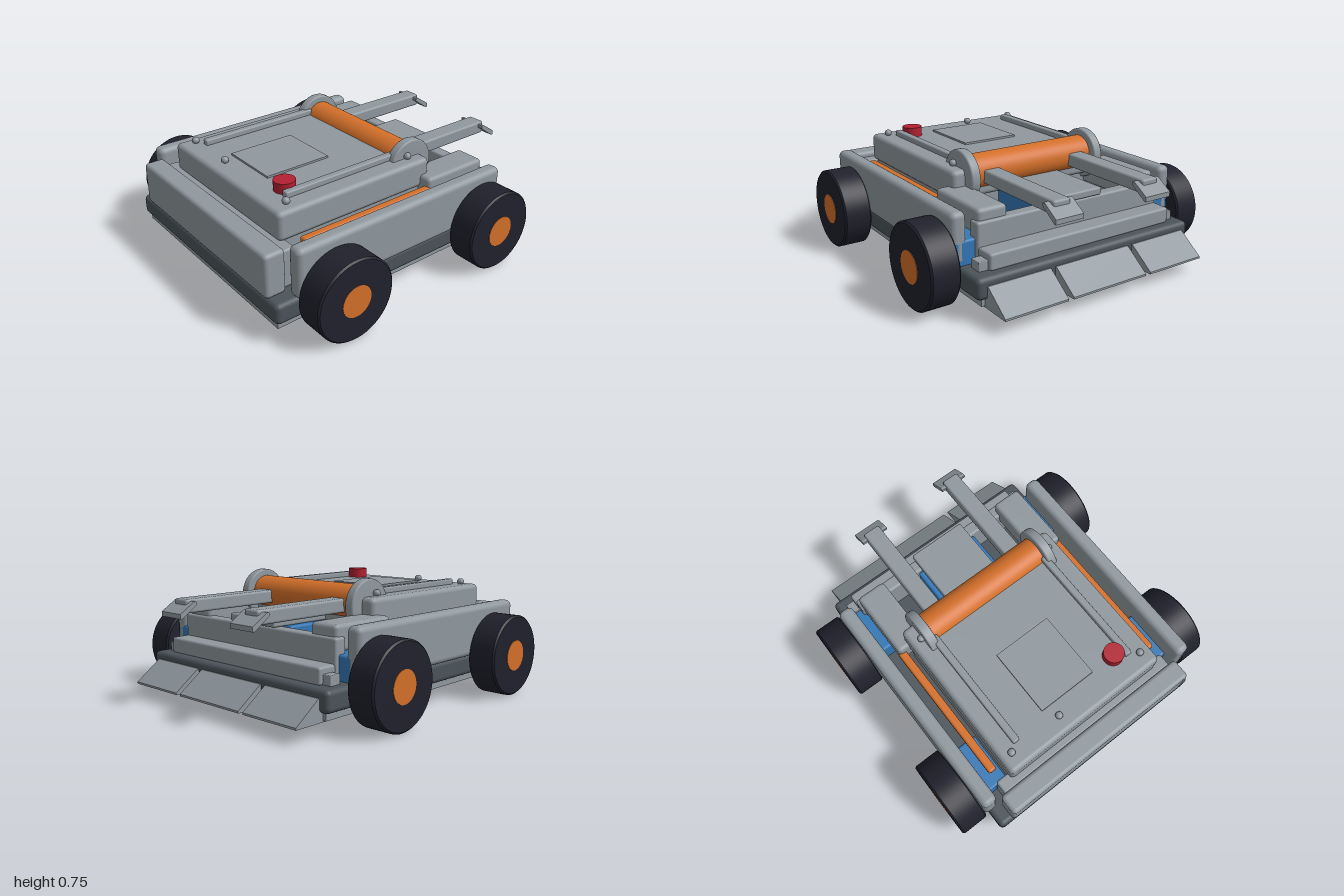
import * as THREE from 'three';
import { RoundedBoxGeometry } from 'three/addons/geometries/RoundedBoxGeometry.js';

const mat = (name, color) => {
  const m = new THREE.MeshStandardMaterial({ color });
  m.name = name;
  return m;
};

export function createModel() {
  const root = new THREE.Group();
  root.name = 'wheeledRobot';
  const grey = mat('bodyGrey', 0x90999f);
  const dark = mat('frameDarkGrey', 0x4b545a);
  const black = mat('tyreBlack', 0x20212c);
  const orange = mat('orange', 0xd4702a);
  const blue = mat('blue', 0x3478b6);
  const red = mat('red', 0xb32031);

  const add = (name, geo, m, x = 0, y = 0, z = 0) => {
    const mesh = new THREE.Mesh(geo, m);
    mesh.name = name;
    mesh.position.set(x, y, z);
    root.add(mesh);
    return mesh;
  };
  // Rounded box given by its limits on each axis
  const box = (name, m, x0, x1, y0, y1, z0, z1, r = 0.02) => {
    const w = x1 - x0, h = y1 - y0, d = z1 - z0;
    const geo = r > 0 ? new RoundedBoxGeometry(w, h, d, 3, r) : new THREE.BoxGeometry(w, h, d);
    return add(name, geo, m, (x0 + x1) / 2, (y0 + y1) / 2, (z0 + z1) / 2);
  };
  // The same box on both sides
  const pair = (name, m, x0, x1, y0, y1, z0, z1, r) => {
    box(name + 'Left', m, x0, x1, y0, y1, z0, z1, r);
    box(name + 'Right', m, x0, x1, y0, y1, -z1, -z0, r);
  };
  const zCylinder = (name, m, r, length, x, y, z) =>
    add(name, new THREE.CylinderGeometry(r, r, length, 48).rotateX(Math.PI / 2), m, x, y, z);
  // Side profile in x and y, extruded along z
  const wedge = (name, points, z0, z1) => {
    const shape = new THREE.Shape(points.map(([x, y]) => new THREE.Vector2(x, y)));
    const geo = new THREE.ExtrudeGeometry(shape, { depth: z1 - z0, bevelEnabled: false });
    return add(name, geo, grey, 0, 0, z0);
  };

  // Chassis
  box('baseFrame', dark, -0.99, 0.825, 0.13, 0.255, -0.755, 0.755, 0.03);
  box('bottomPlate', grey, -0.965, 0.8, 0.09, 0.135, -0.72, 0.72, 0);
  pair('sidePanel', grey, -0.87, 0.625, 0.25, 0.555, 0.69, 0.785, 0.035);
  box('rearBlock', grey, -0.995, -0.865, 0.25, 0.515, -0.67, 0.67, 0.025);
  box('rearPanel', grey, -0.87, -0.78, 0.25, 0.48, -0.635, 0.635, 0.015);
  box('frontPanel', grey, 0.57, 0.65, 0.25, 0.485, -0.645, 0.645, 0.015);
  box('frontBar', grey, 0.64, 0.765, 0.25, 0.348, -0.64, 0.64, 0.015);
  pair('frontBracket', grey, 0.665, 0.74, 0.2, 0.31, 0.6, 0.695, 0.005);

  // Deck and inner blocks
  box('topDeck', grey, -0.825, 0.25, 0.47, 0.645, -0.555, 0.555, 0.03);
  box('deckCore', grey, -0.79, 0.2, 0.25, 0.5, -0.54, 0.54, 0);
  pair('frontBlock', grey, 0.18, 0.63, 0.4, 0.55, 0.44, 0.63, 0.025);
  box('centrePlate', grey, 0.2, 0.665, 0.488, 0.535, -0.19, 0.19, 0.012);
  box('centreBattery', blue, 0.2, 0.56, 0.25, 0.488, -0.22, 0.22, 0.012);
  for (const s of [1, -1]) {
    const side = s > 0 ? 'Left' : 'Right';
    box('sideTube' + side, orange, -0.72, 0.2, 0.445, 0.495, s * 0.61 - 0.026, s * 0.61 + 0.026, 0.015);
  }

  // Deck details
  box('deckHatch', grey, -0.645, -0.22, 0.64, 0.657, -0.195, 0.185, 0);
  pair('deckRail', grey, -0.695, 0.1, 0.64, 0.68, 0.397, 0.442, 0.01);
  for (const [x, z] of [[-0.725, 0.48], [-0.725, -0.48], [-0.725, -0.135], [0.135, 0.485], [0.135, -0.485]])
    add('deckBolt', new RoundedBoxGeometry(0.044, 0.04, 0.044, 4, 0.0199), grey, x, 0.662, z);
  add('stopButton', new THREE.CylinderGeometry(0.063, 0.063, 0.065, 32), red, -0.64, 0.673, 0.345);

  // Lifting drum between two rounded discs
  zCylinder('drum', orange, 0.105, 0.83, 0.178, 0.602, 0);
  for (const s of [1, -1]) {
    const p = [[0, -0.03], [0.145, -0.03], [0.152, -0.027], [0.155, -0.02], [0.155, 0.02], [0.152, 0.027], [0.145, 0.03], [0, 0.03]];
    const disc = new THREE.LatheGeometry(p.map(([r, h]) => new THREE.Vector2(r, h)), 48).rotateX(Math.PI / 2);
    add('drumDisc', disc, grey, 0.178, 0.592, s * 0.446);
  }

  // Lifting arms with sloped tips
  for (const s of [1, -1]) {
    const c = s * 0.308;
    box('liftArm', grey, 0.22, 0.93, 0.55, 0.632, c - 0.056, c + 0.056, 0.015);
    wedge('armTip', [[0.882, 0.6], [0.982, 0.53], [0.995, 0.53], [0.995, 0.558], [0.9, 0.62], [0.882, 0.62]], c - 0.09, c + 0.09);
  }

  // Three sloped front flaps
  const flap = [[0.66, 0.082], [0.988, 0.08], [0.988, 0.092], [0.83, 0.21], [0.8, 0.21], [0.8, 0.1], [0.66, 0.1]];
  wedge('flapCentre', flap, -0.26, 0.26);
  wedge('flapLeft', flap, 0.295, 0.698);
  wedge('flapRight', flap, -0.698, -0.295);

  // Wheels with motors, axles and hubs
  const R = 0.248, e = 0.01, w = 0.0875;
  const tyre = [[0, -w], [R - e, -w], [R - e, -w], [R, -w + e], [R, -w + e], [R, w - e], [R, w - e], [R - e, w], [R - e, w], [0, w]]
    .map(([r, h]) => new THREE.Vector2(r, h));
  for (const x of [-0.63, 0.465]) {
    pair('driveMotor', blue, x - 0.16, x + 0.16, 0.2, 0.395, 0.56, 0.77, 0.015);
    for (const s of [1, -1]) {
      add('tyre', new THREE.LatheGeometry(tyre, 64).rotateX(Math.PI / 2), black, x, R, s * 0.8675);
      zCylinder('axle', dark, 0.05, 0.2, x, R, s * 0.75);
      zCylinder('hub', orange, 0.094, 0.18, x, R, s * 0.8675);
    }
  }
  return root;
}
